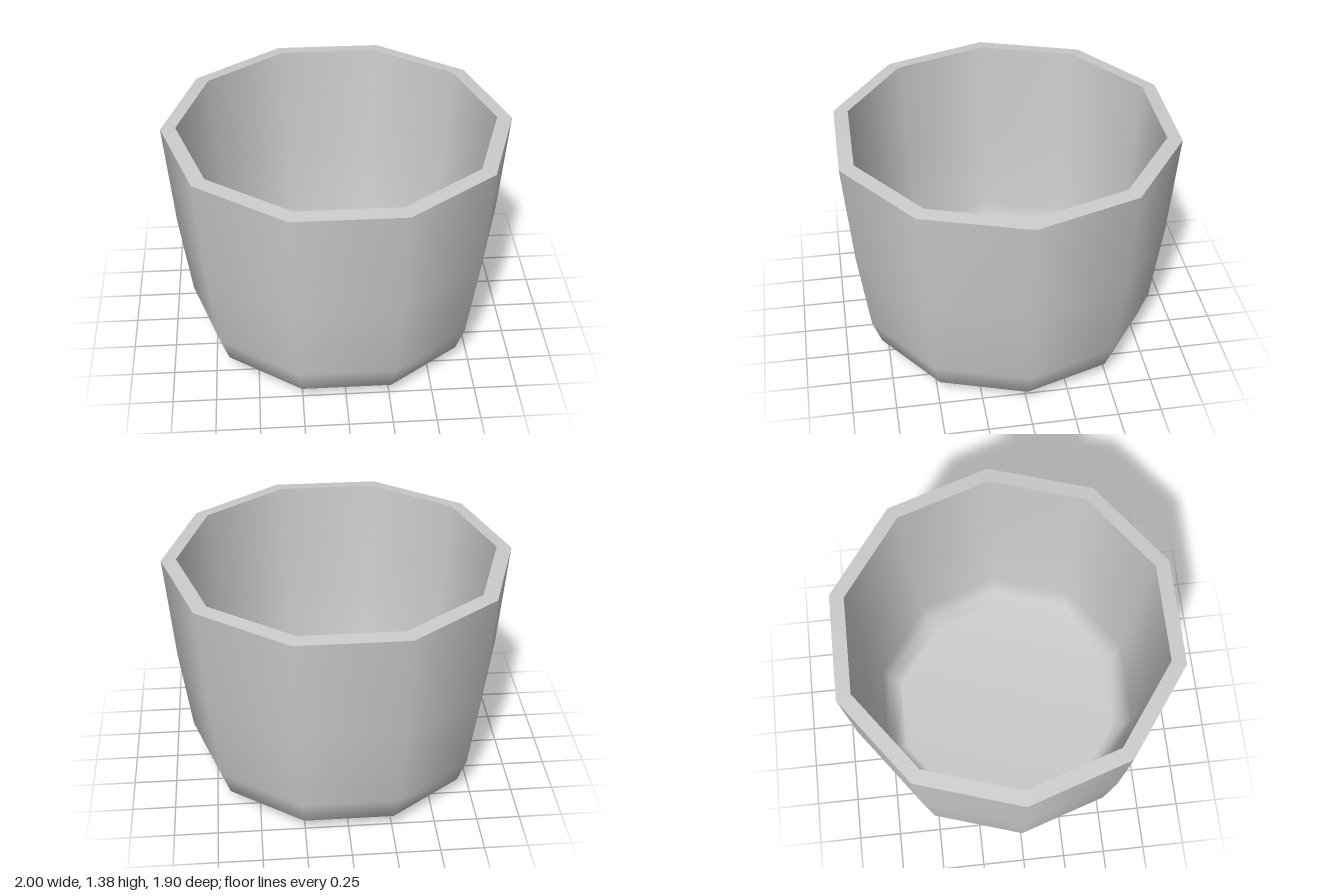
import * as THREE from 'three';

const SIDES = 10;

// Ten-sided smooth surface of revolution with a corner on the x axis
function ring(name, profile, material) {
  const points = profile.map(([r, y]) => new THREE.Vector2(r, y));
  const mesh = new THREE.Mesh(new THREE.LatheGeometry(points, SIDES, Math.PI / 2), material);
  mesh.name = name;
  return mesh;
}

export function createModel() {
  const group = new THREE.Group();
  group.name = 'cup';
  const material = new THREE.MeshStandardMaterial({ color: 0xcccccc });

  const outerRim = [1, 1.375];
  const innerRim = [0.914, 1.383];

  // Outside: flat base, rounded foot and slightly flared wall
  group.add(ring('outerWall', [
    [0, 0], [0.72, 0], [0.83, 0.09], [0.885, 0.245], [0.95, 0.75], outerRim,
  ], material));

  // Separate rim keeps both lip edges crisp
  group.add(ring('rim', [outerRim, innerRim], material));

  // Inside: wall running down to a rounded floor
  group.add(ring('innerWall', [
    innerRim, [0.865, 0.76], [0.803, 0.27], [0.765, 0.15], [0.69, 0.085], [0, 0.085],
  ], material));

  return group;
}
